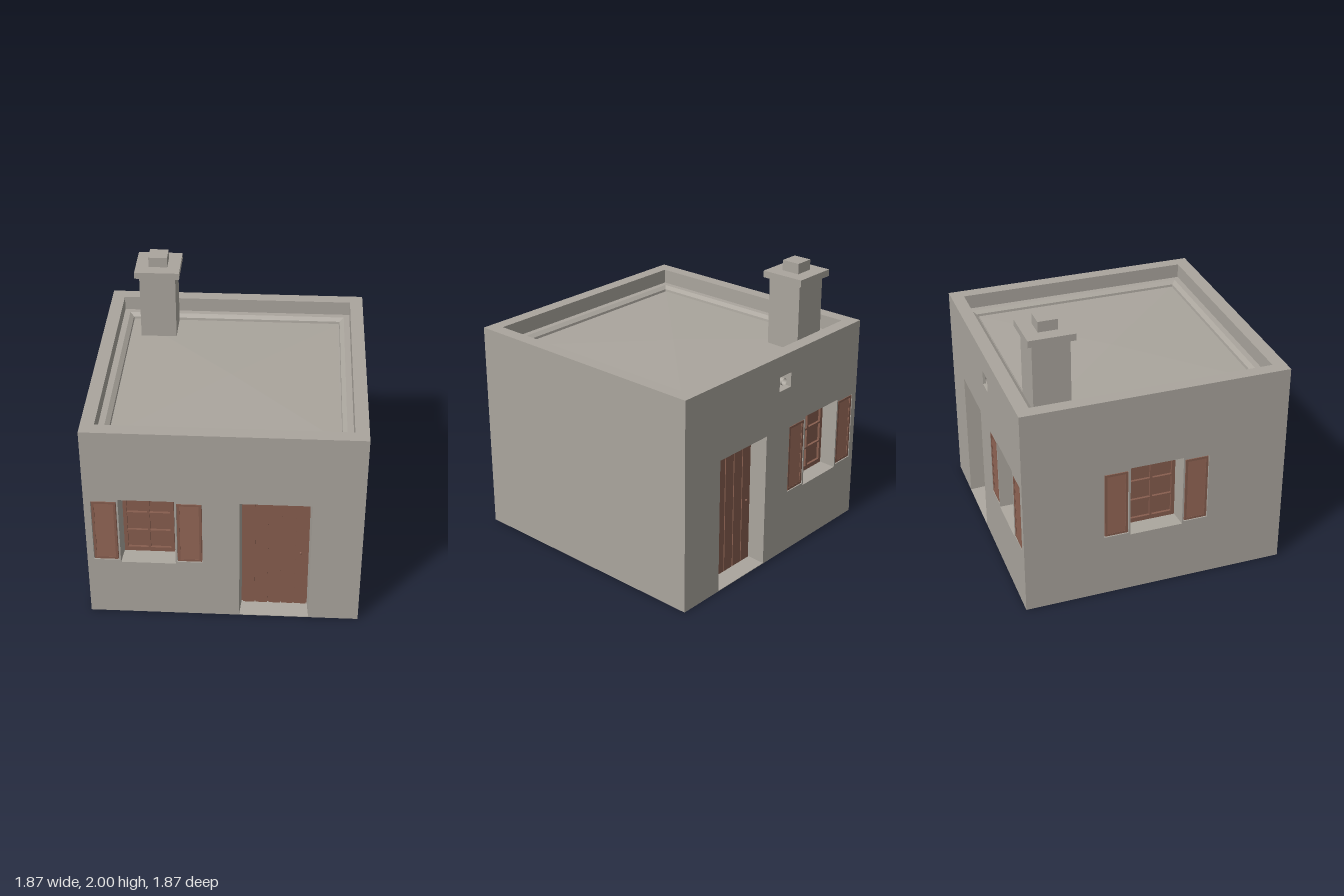
import * as THREE from 'three';

const HALF = 0.935, WALL_TOP = 1.525;

const plaster = new THREE.MeshStandardMaterial({ color: 0xaaa59d });
plaster.name = 'plaster';
const wood = new THREE.MeshStandardMaterial({ color: 0x865d4e });
wood.name = 'brownWood';
const spoutClay = plaster.clone();
spoutClay.name = 'spoutPlaster';
spoutClay.side = THREE.DoubleSide;

function add(parent, name, geometry, material, x = 0, y = 0, z = 0) {
  const mesh = new THREE.Mesh(geometry, material);
  mesh.name = name;
  mesh.position.set(x, y, z);
  parent.add(mesh);
  return mesh;
}

// Box given by its two extreme corners
function box(parent, name, material, [x0, y0, z0], [x1, y1, z1]) {
  const g = new THREE.BoxGeometry(x1 - x0, y1 - y0, z1 - z0);
  return add(parent, name, g, material, (x0 + x1) / 2, (y0 + y1) / 2, (z0 + z1) / 2);
}

const corners = ([x0, y0, x1, y1]) => [[x0, y0], [x1, y0], [x1, y1], [x0, y1]];

// Four splayed sides running from an outer rectangle back to an inner one
function revealGeometry(outer, inner, depth) {
  const o = corners(outer).map(p => [...p, HALF]);
  const n = corners(inner).map(p => [...p, HALF - depth]);
  const pos = [];
  for (let i = 0; i < 4; i++) {
    const j = (i + 1) % 4;
    pos.push(...o[i], ...o[j], ...n[j], ...o[i], ...n[j], ...n[i]);
  }
  const g = new THREE.BufferGeometry();
  g.setAttribute('position', new THREE.Float32BufferAttribute(pos, 3));
  g.computeVertexNormals();
  return g;
}

// Square stepped surface swept from a [half width, height] profile
function squareLathe(profile) {
  const pts = profile.map(([r, y]) => new THREE.Vector2(r * Math.SQRT2, y));
  const g = new THREE.LatheGeometry(pts, 4, Math.PI / 4).toNonIndexed();
  g.computeVertexNormals();
  return g;
}

// Recessed plank door with knob
function door(side, cx, holes) {
  const outer = [cx - 0.242, 0.004, cx + 0.242, 0.985];
  const inner = [cx - 0.23, 0.018, cx + 0.23, 0.968];
  const back = HALF - 0.13;
  holes.push(outer);
  add(side, 'doorReveal', revealGeometry(outer, inner, 0.13), plaster);
  const group = new THREE.Group();
  group.name = 'door';
  box(group, 'doorPanel', wood, [inner[0], inner[1], back - 0.03], [inner[2], inner[3], back]);
  for (let i = 0; i < 5; i++) {
    const x = cx - 0.225 + i * 0.09;
    box(group, 'doorPlank', wood, [x + 0.004, 0.02, back - 0.01], [x + 0.086, 0.955, back + 0.012]);
  }
  add(group, 'doorKnob', new THREE.SphereGeometry(0.009, 12, 8), wood, cx + 0.176, 0.49, back + 0.02);
  side.add(group);
}

// Louvred shutter set into a shallow recess
function shutter(side, cx, holes) {
  const outer = [cx - 0.086, 0.467, cx + 0.086, 0.968];
  const [x0, y0, x1, y1] = [cx - 0.081, 0.473, cx + 0.081, 0.962];
  const back = HALF - 0.025, front = HALF - 0.002;
  holes.push(outer);
  add(side, 'shutterRecess', revealGeometry(outer, outer, 0.025), plaster);
  const group = new THREE.Group();
  group.name = 'shutter';
  box(group, 'shutterBack', wood, [outer[0], outer[1], back - 0.01], [outer[2], outer[3], back]);
  box(group, 'shutterStile', wood, [x0, y0, back], [x0 + 0.016, y1, front]);
  box(group, 'shutterStile', wood, [x1 - 0.016, y0, back], [x1, y1, front]);
  box(group, 'shutterRail', wood, [x0, y0, back], [x1, y0 + 0.016, front]);
  box(group, 'shutterRail', wood, [x0, y1 - 0.016, back], [x1, y1, front]);
  const pitch = (y1 - y0 - 0.032) / 6;
  for (let i = 0; i < 6; i++) {
    const slat = add(group, 'shutterSlat', new THREE.BoxGeometry(0.132, pitch, 0.008), wood,
      cx, y0 + 0.016 + (i + 0.5) * pitch, HALF - 0.013);
    slat.rotation.x = -0.2;
  }
  side.add(group);
}

// Recessed six-pane window with a shutter on either side
function windowSet(side, cx, holes) {
  const outer = [cx - 0.188, 0.45, cx + 0.188, 0.985];
  const inner = [cx - 0.173, 0.462, cx + 0.173, 0.97];
  const back = HALF - 0.13, front = back + 0.018;
  holes.push(outer);
  add(side, 'windowReveal', revealGeometry(outer, inner, 0.13), plaster);
  box(side, 'windowPanes', wood, [inner[0], inner[1], back - 0.03], [inner[2], inner[3], back]);
  // Glazing frame with 2 x 3 panes
  const frame = new THREE.Shape(corners(inner).map(p => new THREE.Vector2(...p)));
  for (const x of [-0.148, 0.008]) {
    for (const y of [0.495, 0.645, 0.797]) {
      const pane = [cx + x, y, cx + x + 0.14, y + 0.138];
      frame.holes.push(new THREE.Path(corners(pane).map(p => new THREE.Vector2(...p))));
    }
  }
  add(side, 'windowFrame', new THREE.ExtrudeGeometry(frame, { depth: front - back, bevelEnabled: false }),
    wood, 0, 0, back);
  for (const s of [-1, 1]) shutter(side, cx + s * 0.286, holes);
}

// Small square recess with a drain spout
function drain(side, cx, holes) {
  const outer = [cx - 0.062, 1.27, cx + 0.062, 1.375];
  const inner = [cx - 0.056, 1.276, cx + 0.056, 1.369];
  const back = HALF - 0.08;
  holes.push(outer);
  add(side, 'drainRecess', revealGeometry(outer, inner, 0.08), plaster);
  box(side, 'drainBack', plaster, [inner[0], inner[1], back - 0.01], [inner[2], inner[3], back]);
  const spout = add(side, 'drainSpout', new THREE.CylinderGeometry(0.026, 0.026, 0.07, 16, 1, true),
    spoutClay, cx, 1.322, back + 0.035);
  spout.rotation.x = Math.PI / 2;
}

// One wall: a face pierced by the openings its builder adds
function wall(model, name, angle, build) {
  const side = new THREE.Group();
  side.name = name;
  const holes = [];
  build(side, holes);
  const shape = new THREE.Shape(corners([-HALF, 0, HALF, WALL_TOP]).map(p => new THREE.Vector2(...p)));
  for (const h of holes) shape.holes.push(new THREE.Path(corners(h).map(p => new THREE.Vector2(...p))));
  add(side, 'wallFace', new THREE.ShapeGeometry(shape), plaster, 0, 0, HALF);
  side.rotation.y = angle;
  model.add(side);
}

export function createModel() {
  const model = new THREE.Group();
  model.name = 'house';

  // Walls
  wall(model, 'frontWall', 0, (s, h) => { windowSet(s, -0.517, h); door(s, 0.348, h); });
  wall(model, 'backWall', Math.PI, (s, h) => {
    windowSet(s, 0.517, h);
    door(s, -0.348, h);
    drain(s, 0.08, h);
  });
  wall(model, 'rightWall', -Math.PI / 2, (s, h) => windowSet(s, 0, h));
  wall(model, 'leftWall', Math.PI / 2, () => {});

  // Floor underside
  const floor = add(model, 'floor', new THREE.PlaneGeometry(2 * HALF, 2 * HALF), plaster);
  floor.rotation.x = Math.PI / 2;

  // Parapet, inner ledge, sloped curb and gently pitched roof
  add(model, 'parapetAndRoof', squareLathe([
    [HALF, WALL_TOP], [0.842, WALL_TOP], [0.842, 1.42], [0.8, 1.42],
    [0.77, 1.4], [0.767, 1.38], [0.758, 1.38], [0.758, 1.388], [0, 1.405],
  ]), plaster);

  // Chimney
  const chimney = new THREE.Group();
  chimney.name = 'chimney';
  box(chimney, 'chimneyShaft', plaster, [-0.685, 1.37, -0.768], [-0.427, 1.88, -0.51]);
  box(chimney, 'chimneyCap', plaster, [-0.716, 1.878, -0.8], [-0.396, 1.926, -0.48]);
  box(chimney, 'chimneyTop', plaster, [-0.622, 1.926, -0.706], [-0.488, 2, -0.572]);
  model.add(chimney);

  return model;
}
